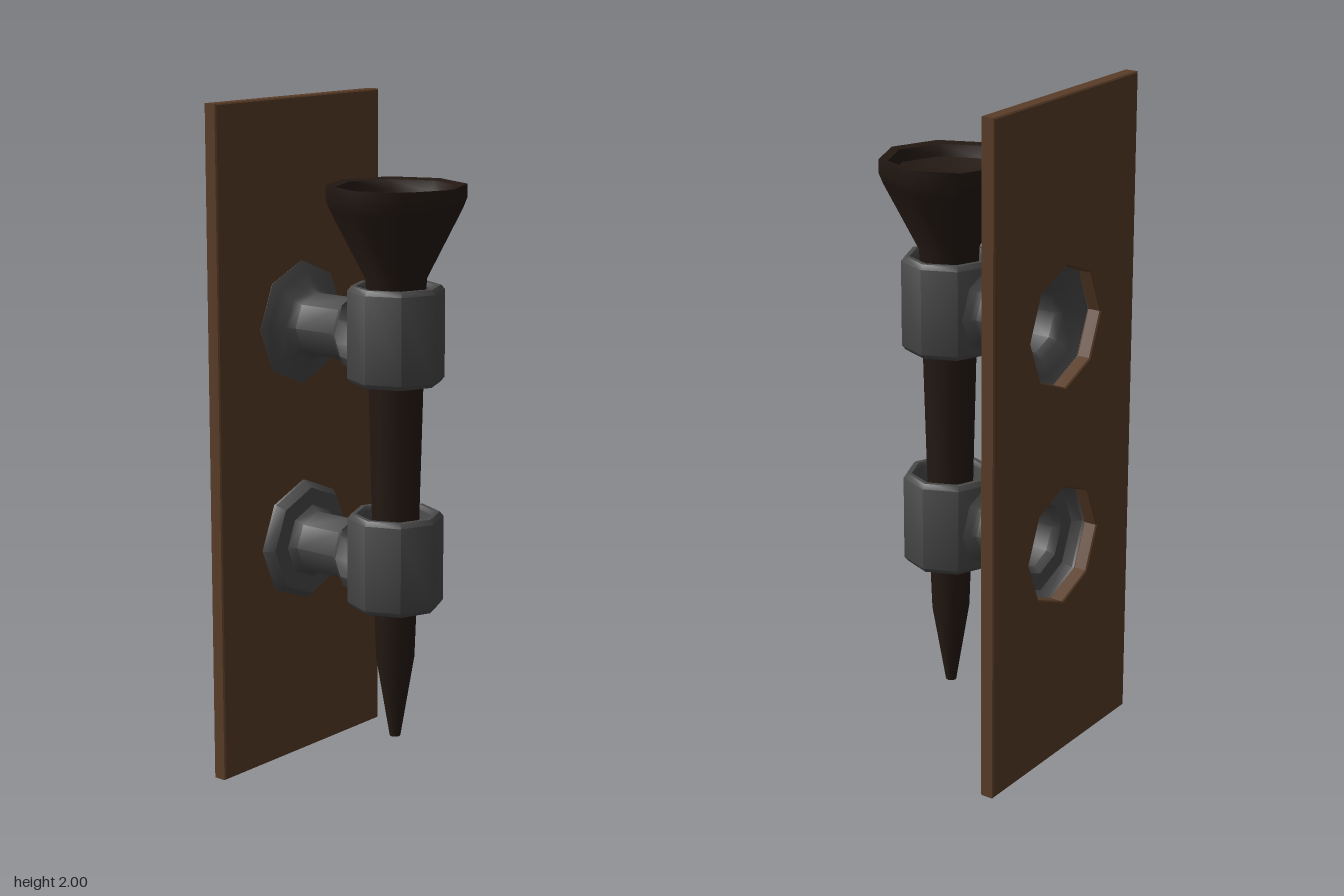
import * as THREE from 'three';
import { toCreasedNormals } from 'three/addons/utils/BufferGeometryUtils.js';

const SIDES = 8;
const CENTRE_Z = 0.1; // axis of the torch
const FLANGE_R = 0.185;

const material = (color, side = THREE.FrontSide) => new THREE.MeshStandardMaterial({ color, side });

// Eight-sided turned part from [radius, height] pairs
function turned(name, profile, mat, crease = 0.9) {
  const points = profile.map(([r, y]) => new THREE.Vector2(r, y));
  const geometry = toCreasedNormals(new THREE.LatheGeometry(points, SIDES), crease);
  const mesh = new THREE.Mesh(geometry, mat);
  mesh.name = name;
  return mesh;
}

export function createModel() {
  const model = new THREE.Group();
  model.name = 'wallTorch';
  const wood = material(0x5a3d28);
  const darkWood = material(0x241913);
  const metal = material(0x4a4a4a, THREE.DoubleSide);

  const brackets = [
    // clamp bottom, arm height, flange profile [radius, z]
    { name: 'upperBracket', clampY: 1.2, armY: 1.335, flange: [[FLANGE_R, -0.257], [0.16, -0.242]] },
    { name: 'lowerBracket', clampY: 0.53, armY: 0.67, flange: [[FLANGE_R, -0.25], [0.165, -0.224]] },
  ];

  // Back board with an octagonal opening behind each bracket
  const bevel = 0.004;
  const w = 0.36 - bevel;
  const board = new THREE.Shape([
    new THREE.Vector2(-w, bevel), new THREE.Vector2(w, bevel),
    new THREE.Vector2(w, 2 - bevel), new THREE.Vector2(-w, 2 - bevel),
  ]);
  for (const { armY } of brackets) {
    const corners = [];
    for (let i = 0; i < SIDES; i++) {
      const a = -i / SIDES * Math.PI * 2;
      corners.push(new THREE.Vector2(Math.cos(a), Math.sin(a)).multiplyScalar(FLANGE_R)
        .add(new THREE.Vector2(0, armY)));
    }
    board.holes.push(new THREE.Path(corners));
  }
  const boardGeometry = new THREE.ExtrudeGeometry(board, {
    depth: 0.045 - 2 * bevel, bevelThickness: bevel, bevelSize: bevel, bevelSegments: 1,
  });
  boardGeometry.translate(0, 0, -0.303 + bevel);
  const boardMesh = new THREE.Mesh(boardGeometry, wood);
  boardMesh.name = 'backBoard';
  model.add(boardMesh);

  // Torch: pointed tapering shaft, flared head and hollow bowl
  const torch = turned('torch', [
    [0, 0.125], [0.016, 0.125], [0.057, 0.37], [0.063, 0.53], [0.07, 0.81],
    [0.08, 1.2], [0.088, 1.5], [0.19, 1.7], [0.202, 1.73], [0.202, 1.77],
    [0.175, 1.765], [0.165, 1.73], [0, 1.67],
  ], darkWood);
  torch.position.z = CENTRE_Z;
  model.add(torch);

  // Brackets: hollow clamp ring, open arm and flared wall flange
  for (const { name, clampY, armY, flange } of brackets) {
    const bracket = new THREE.Group();
    bracket.name = name;

    const h = 0.282;
    const clamp = turned('clampRing', [
      [0.108, 0.012], [0.116, 0], [0.13, 0], [0.141, 0.014], [0.141, h - 0.014],
      [0.13, h], [0.116, h], [0.108, h - 0.012], [0.108, 0.012],
    ], metal);
    clamp.position.set(0, clampY, CENTRE_Z);

    const arm = turned('armAndFlange', [
      [FLANGE_R, -0.302], ...flange, [0.112, -0.222], [0.095, -0.2],
      [0.095, -0.06], [0.105, -0.045], [0.122, -0.03],
    ], metal);
    arm.rotation.x = Math.PI / 2;
    arm.position.y = armY;

    bracket.add(clamp, arm);
    model.add(bracket);
  }
  return model;
}
